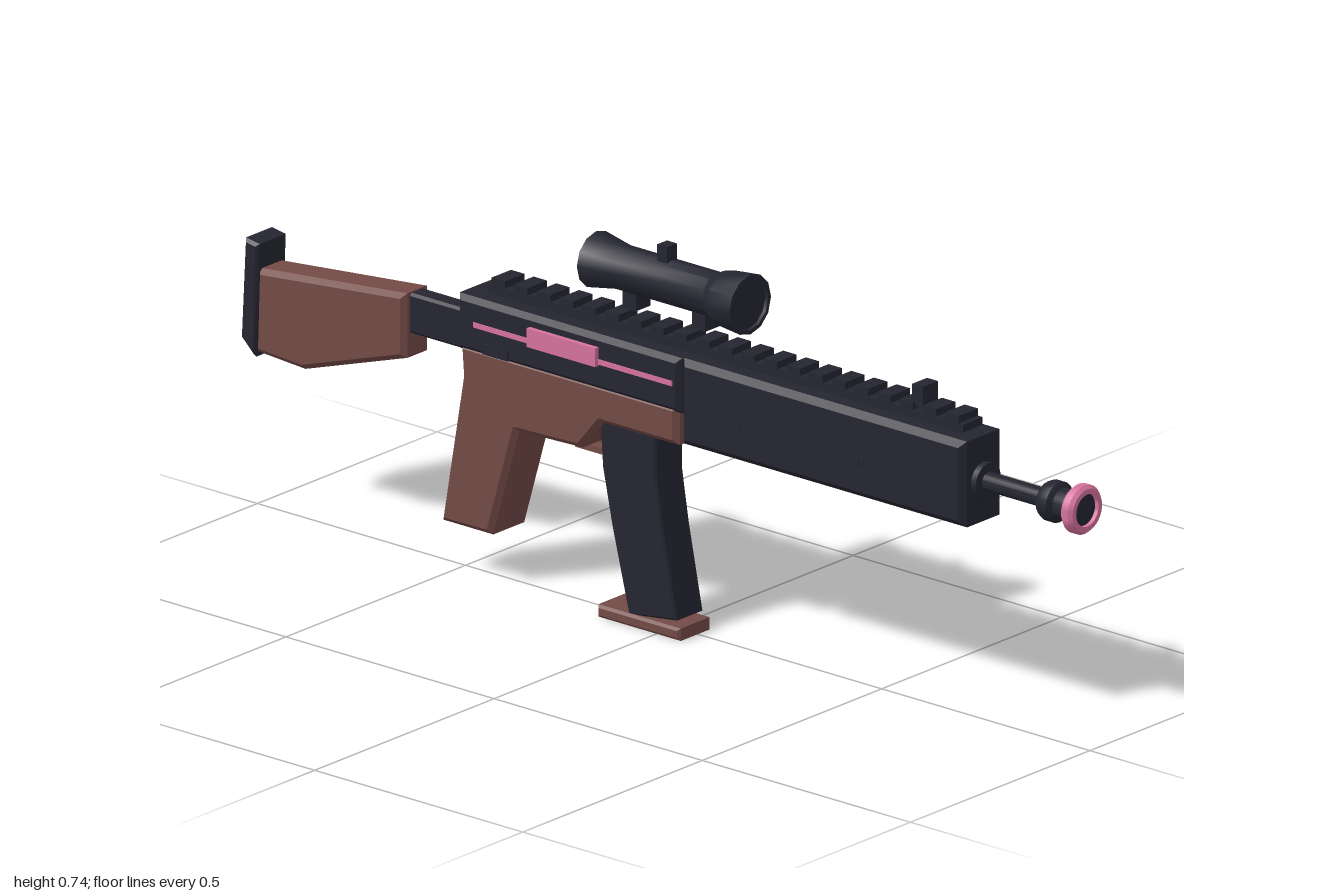
import * as THREE from 'three';
import { toCreasedNormals } from 'three/addons/utils/BufferGeometryUtils.js';

const dark = new THREE.MeshStandardMaterial({ name: 'charcoal', color: 0x252531 });
const brown = new THREE.MeshStandardMaterial({ name: 'brown', color: 0x734a46 });
const pink = new THREE.MeshStandardMaterial({ name: 'pink', color: 0xd6739d });

export function createModel() {
  const group = new THREE.Group();

  const add = (name, geometry, material) => {
    const mesh = new THREE.Mesh(geometry, material);
    mesh.name = name;
    group.add(mesh);
    return mesh;
  };

  // Side profile extruded across z, with chamfered edges
  const slab = (name, material, points, halfWidth, bevel = 0.01) => {
    const shape = new THREE.Shape(points.map(([x, y]) => new THREE.Vector2(x, y)));
    const depth = 2 * (halfWidth - bevel);
    const geometry = new THREE.ExtrudeGeometry(shape, {
      depth, bevelEnabled: bevel > 0, bevelSize: bevel, bevelThickness: bevel,
      bevelOffset: -bevel, bevelSegments: 1,
    });
    geometry.translate(0, 0, -depth / 2);
    return add(name, geometry, material);
  };

  const block = (name, material, x0, x1, y0, y1, halfWidth, bevel) =>
    slab(name, material, [[x0, y0], [x1, y0], [x1, y1], [x0, y1]], halfWidth, bevel);

  // Plain box given by its limits
  const box = (name, material, x0, x1, y0, y1, z0, z1) => {
    const geometry = new THREE.BoxGeometry(x1 - x0, y1 - y0, z1 - z0);
    geometry.translate((x0 + x1) / 2, (y0 + y1) / 2, (z0 + z1) / 2);
    return add(name, geometry, material);
  };

  // Turned part along x: profile of [x, radius]
  const turned = (name, material, y, profile, sides) => {
    const points = profile.map(([x, r]) => new THREE.Vector2(r, x));
    let geometry = new THREE.LatheGeometry(points, sides);
    geometry.rotateZ(-Math.PI / 2);
    geometry = toCreasedNormals(geometry, 0.6);
    geometry.translate(0, y, 0);
    return add(name, geometry, material);
  };

  // Stock
  slab('buttPad', dark, [[-1, 0.335], [-0.965, 0.305], [-0.957, 0.525], [-0.99, 0.53]], 0.042, 0.006);
  slab('stock', brown, [[-0.97, 0.312], [-0.855, 0.305], [-0.61, 0.385], [-0.61, 0.51], [-0.965, 0.475]], 0.037);
  block('stockTube', dark, -0.62, -0.45, 0.43, 0.508, 0.02, 0.005);

  // Body
  block('receiver', dark, -0.467, 0.068, 0.445, 0.552, 0.057);
  slab('gripFrame', brown, [
    [-0.465, 0.456], [-0.46, 0.39], [-0.51, 0.1], [-0.39, 0.1], [-0.327, 0.315],
    [-0.175, 0.32], [-0.125, 0.38], [0.058, 0.38], [0.058, 0.456],
  ], 0.053);
  box('triggerGuard', brown, -0.215, -0.13, 0.305, 0.317, -0.018, 0.018);
  box('trigger', brown, -0.145, -0.13, 0.305, 0.385, -0.018, 0.018);
  block('handguard', dark, 0.07, 0.75, 0.387, 0.553, 0.057, 0.012);

  // Side slots along the handguard
  for (const side of [-1, 1]) {
    for (let i = 0; i < 6; i++) {
      const x = 0.15 + i * 0.095;
      box('handguardSlot', dark, x, x + 0.065, 0.448, 0.46, side * 0.0575 - 0.001, side * 0.0575 + 0.001);
    }
  }

  // Magazine
  slab('magazine', dark, [
    [-0.14, 0.385], [-0.133, 0.29], [-0.11, 0.18], [-0.07, 0.02],
    [0.045, 0.035], [0.012, 0.2], [-0.004, 0.3], [-0.004, 0.385],
  ], 0.039, 0.004);
  block('magazineBase', brown, -0.14, 0.058, 0, 0.024, 0.045, 0.005);

  // Top rail
  box('railNeck', dark, -0.4, 0.71, 0.548, 0.562, -0.016, 0.016);
  box('railBase', dark, -0.415, 0.725, 0.56, 0.575, -0.027, 0.027);
  for (let i = 0; i < 21; i++) {
    const x = -0.408 + i * 0.0545;
    box('railTooth', dark, x, x + 0.032, 0.574, 0.589, -0.027, 0.027);
  }
  box('frontSight', dark, 0.597, 0.623, 0.58, 0.622, -0.021, 0.021);

  // Scope
  turned('scope', dark, 0.672, [
    [-0.165, 0], [-0.165, 0.046], [-0.18, 0.054], [-0.115, 0.042], [0.11, 0.042],
    [0.13, 0.052], [0.19, 0.058], [0.19, 0.05], [0.183, 0.05], [0.183, 0],
  ], 12);
  for (const x of [-0.083, 0.083]) {
    box('scopeMount', dark, x - 0.016, x + 0.016, 0.603, 0.645, -0.02, 0.02);
  }
  box('scopeKnob', dark, -0.022, 0.002, 0.705, 0.742, -0.014, 0.014);

  // Barrel and muzzle
  turned('barrelCollar', dark, 0.467, [[0.74, 0], [0.74, 0.035], [0.762, 0.035], [0.762, 0]], 16);
  turned('barrel', dark, 0.467, [[0.74, 0], [0.74, 0.018], [0.92, 0.018], [0.92, 0]], 16);
  turned('muzzle', dark, 0.467, [
    [0.905, 0], [0.905, 0.034], [0.915, 0.039], [0.933, 0.039], [0.94, 0.029],
    [0.975, 0.033], [0.992, 0.033], [0.992, 0],
  ], 20);
  turned('muzzleRing', pink, 0.467, [
    [0.972, 0.03], [0.972, 0.041], [0.979, 0.047], [0.993, 0.047], [1, 0.041], [1, 0.031], [0.972, 0.03],
  ], 32);

  // Pink markings on both sides
  for (const side of [-1, 1]) {
    const z = side * 0.057;
    box('receiverStripe', pink, -0.425, 0.052, 0.497, 0.507, z - 0.002, z + 0.002);
  }
  box('leftPanel', pink, -0.29, -0.125, 0.494, 0.53, 0.05, 0.067);
  box('rightPanel', pink, -0.29, -0.125, 0.494, 0.53, -0.06, -0.05);

  // Controls on the sides
  box('ejectionCover', dark, -0.2, 0, 0.468, 0.515, -0.065, -0.05);
  block('boltKnob', dark, -0.46, -0.4, 0.513, 0.545, 0.017, 0.006).position.z = -0.063;
  box('selector', dark, -0.4, -0.34, 0.452, 0.472, -0.05, 0.062);

  // Centre the whole between the side controls
  group.position.z = 0.007;
  return group;
}
